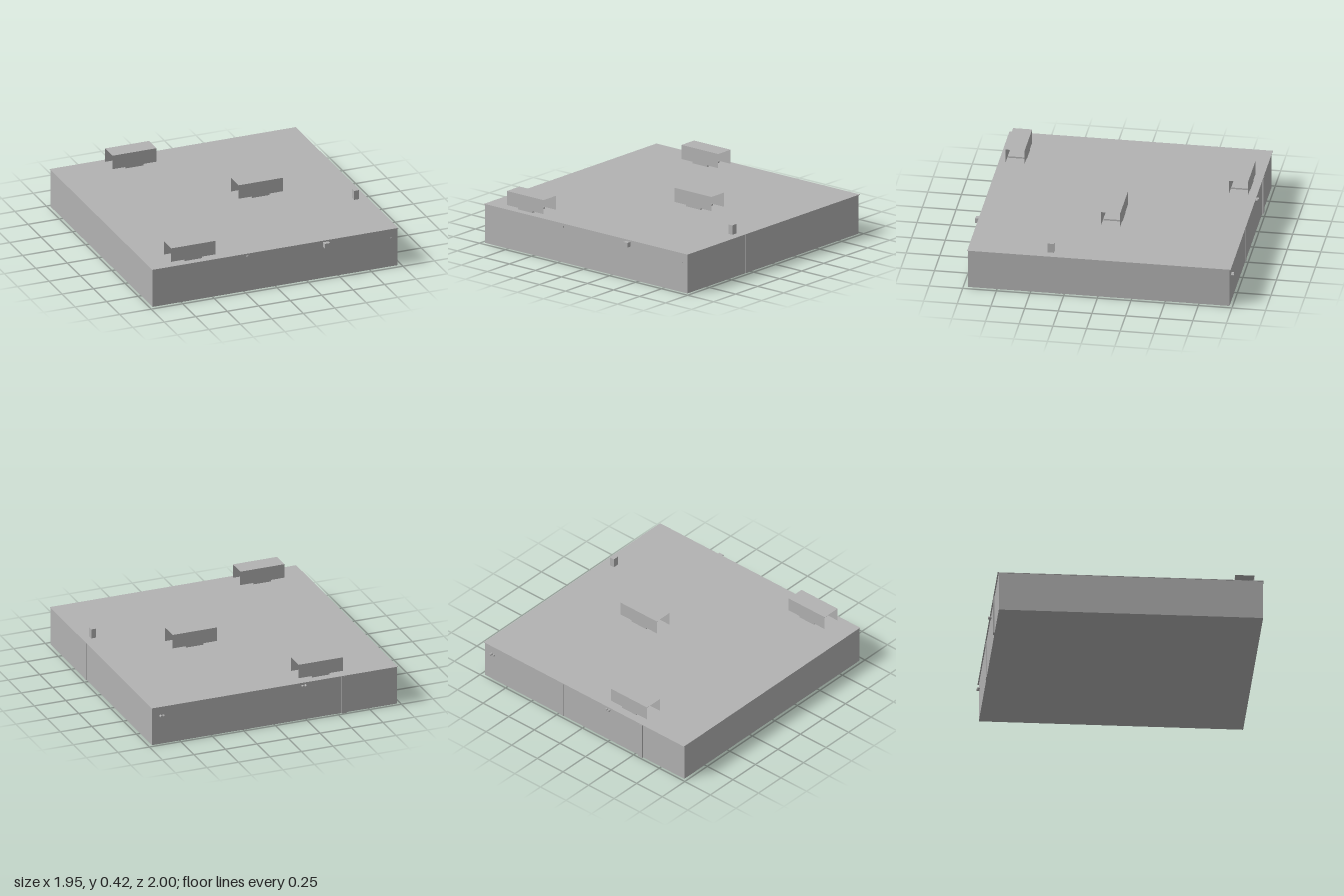
import * as THREE from 'three';

export function createModel() {
  const model = new THREE.Group();
  const grey = new THREE.MeshStandardMaterial({ color: 0xb2b2b2, side: THREE.DoubleSide });
  grey.name = 'concrete grey';

  // Box given by its minimum and maximum on each axis
  function box(name, [x0, x1], [y0, y1], [z0, z1], parent = model) {
    const mesh = new THREE.Mesh(new THREE.BoxGeometry(x1 - x0, y1 - y0, z1 - z0), grey);
    mesh.position.set((x0 + x1) / 2, (y0 + y1) / 2, (z0 + z1) / 2);
    mesh.name = name;
    parent.add(mesh);
    return mesh;
  }

  function plane(name, w, h, x, y, z, rotX, parent) {
    const mesh = new THREE.Mesh(new THREE.PlaneGeometry(w, h), grey);
    mesh.position.set(x, y, z);
    mesh.rotation.x = rotX;
    mesh.name = name;
    parent.add(mesh);
  }

  // Building body with a thin, slightly overhanging roof
  box('walls', [-0.975, 0.97], [0, 0.296], [-0.977, 0.967]);
  box('roof', [-0.979, 0.975], [0.296, 0.3], [-0.986, 0.971]);

  // Rooftop units: sheet hood open at both ends and below, on a low curb
  for (const [x, z] of [[-0.63, 0.845], [0.26, -0.008], [-0.39, -0.853]]) {
    const unit = new THREE.Group();
    unit.name = 'rooftopUnit';
    unit.position.set(x, 0.3, z);
    const w = 0.352, d = 0.142, low = 0.012, high = 0.12;
    plane('hoodTop', w, d, 0, high, 0, -Math.PI / 2, unit);
    plane('hoodFront', w, high - low, 0, (high + low) / 2, d / 2, 0, unit);
    plane('hoodBack', w, high - low, 0, (high + low) / 2, -d / 2, Math.PI, unit);
    box('curb', [-0.07, 0.07], [0, low], [-d / 2, d / 2], unit);
    model.add(unit);
  }

  // Roof vent and front wall box
  box('roofVent', [0.87, 0.908], [0.3, 0.372], [0.338, 0.383]);
  box('wallBox', [0.38, 0.422], [0.25, 0.286], [0.967, 1]);

  // Slim vertical strips on the walls
  box('backStrip', [0.2, 0.25], [0, 0.296], [-0.981, -0.975]);
  box('backDownpipe', [-0.572, -0.532], [0, 0.296], [-0.988, -0.975]);
  box('sideStrip', [0.965, 0.974], [0, 0.296], [0.278, 0.306]);

  // Small round wall fittings
  function fitting(name, x, y, z, radius, length) {
    const mesh = new THREE.Mesh(new THREE.CylinderGeometry(radius, radius, length, 12), grey);
    mesh.rotation.x = Math.PI / 2;
    mesh.position.set(x, y, z);
    mesh.name = name;
    model.add(mesh);
  }
  for (const [x, y, side] of [[-0.235, 0.272, 1], [0.892, 0.225, -1]]) {
    fitting('backTap', x - 0.012 * side, y, -0.988, 0.009, 0.024);
    fitting('backTapKnob', x + 0.012 * side, y, -0.986, 0.008, 0.018);
  }
  fitting('frontOutlet', -0.222, 0.277, 0.972, 0.008, 0.012);
  fitting('frontCornerOutlet', 0.92, 0.228, 0.97, 0.005, 0.01);

  return model;
}
